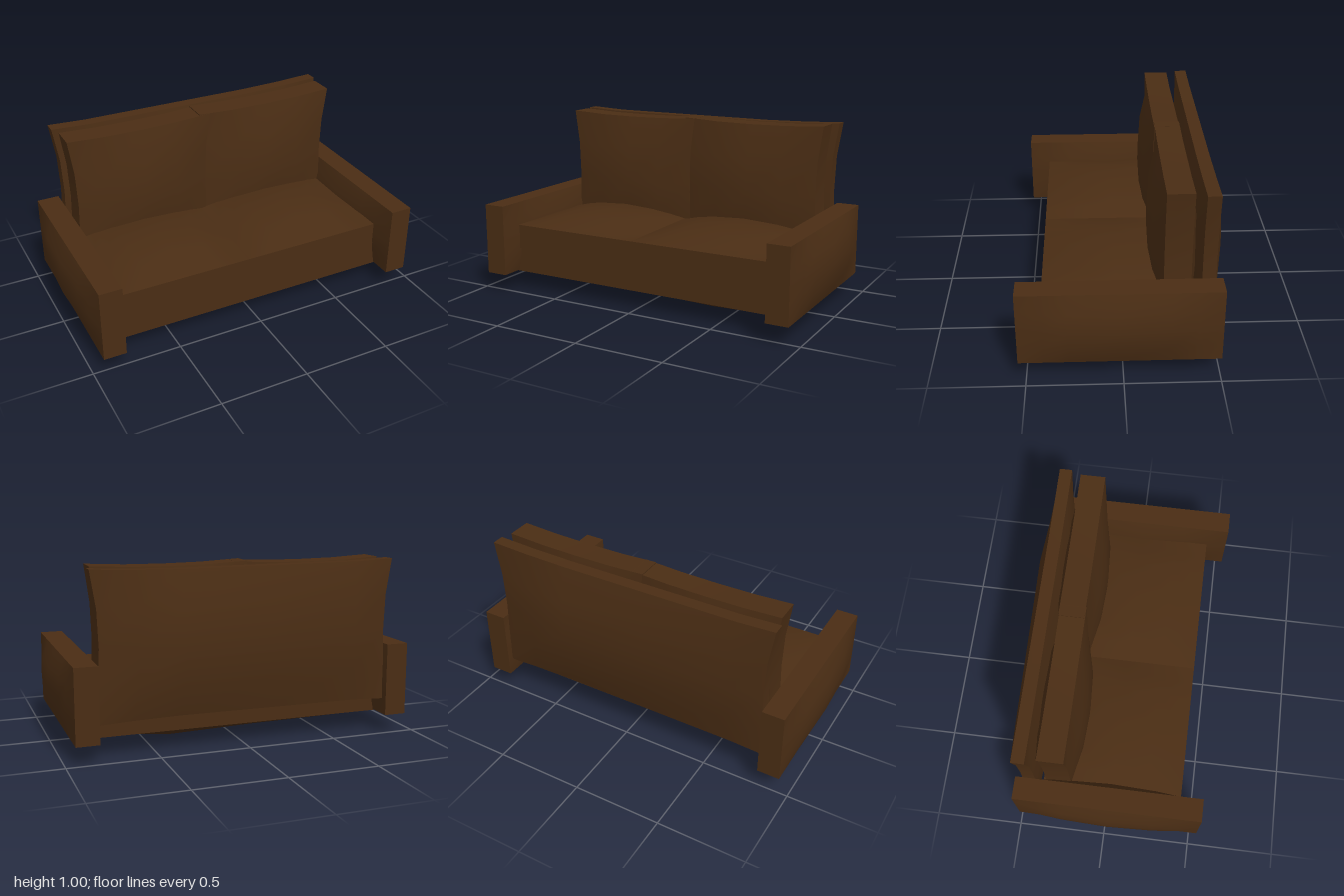
import * as THREE from 'three';

// Fullness of a stuffed face from edge to edge: [position -1..1, fullness 0..1]
const EVEN = [[-1, 0], [-0.75, 0.45], [-0.5, 0.76], [0, 1], [0.5, 0.76], [0.75, 0.45], [1, 0]];
const FULL = [[-1, 0], [-0.5, 0.8], [0, 1], [0.5, 0.8], [1, 0]];
const LONG = [[-1, 0], [-0.75, 0.68], [-0.15, 0.84], [0.45, 1], [0.75, 0.66], [1, 0]];

const leather = new THREE.MeshStandardMaterial({ color: 0x4a2d14 });

// A stuffed box: two faces swell along the thin axis, the rim is pinched inward.
// min/max are the corner positions; pinch is given for the two other axes.
function pillow(name, min, max, thin, bulge, profiles, pinch = [0, 0]) {
  const [u, v] = [0, 1, 2].filter((a) => a !== thin);
  const [pu, pv] = profiles;
  const segments = [1, 1, 1];
  segments[u] = pu.length - 1;
  segments[v] = pv.length - 1;
  const geometry = new THREE.BoxGeometry(2, 2, 2, ...segments);
  const position = geometry.attributes.position;
  const station = (profile, t) => profile[Math.round((t + 1) / 2 * (profile.length - 1))];
  const half = max.map((m, a) => (m - min[a]) / 2);
  const p = [0, 0, 0];
  for (let i = 0; i < position.count; i++) {
    p[0] = position.getX(i);
    p[1] = position.getY(i);
    p[2] = position.getZ(i);
    const [tu, fu] = station(pu, p[u]);
    const [tv, fv] = station(pv, p[v]);
    p[thin] *= half[thin] + bulge * fu * fv;
    p[u] = tu * (half[u] - pinch[0] * fv);
    p[v] = tv * (half[v] - pinch[1] * fu);
    position.setXYZ(i, ...p.map((c, a) => c + (min[a] + max[a]) / 2));
  }
  geometry.computeVertexNormals();
  const mesh = new THREE.Mesh(geometry, leather);
  mesh.name = name;
  return mesh;
}

export function createModel() {
  const sofa = new THREE.Group();
  sofa.name = 'sofa';

  // Base with a sagging underside
  sofa.add(pillow('base', [-0.83, 0.105, -0.365], [0.83, 0.25, 0.41], 1, 0.1, [LONG, FULL], [0.01, 0]));

  // Tall panel behind the cushions
  sofa.add(pillow('backPanel', [-0.85, 0.2, -0.47], [0.85, 1, -0.4], 2, 0.07, [LONG, FULL], [0.04, 0.015]));

  // Arms
  for (const [name, side] of [['leftArm', 1], ['rightArm', -1]]) {
    const x = 0.885 * side;
    sofa.add(pillow(name, [x - 0.063, 0.11, -0.505], [x + 0.063, 0.52, 0.54], 0, 0.052, [FULL, EVEN]));
  }

  // Seat cushions, meeting slightly off centre
  sofa.add(pillow('rightSeatCushion', [-0.81, 0.25, -0.36], [-0.032, 0.39, 0.42], 1, 0.07, [EVEN, FULL]));
  sofa.add(pillow('leftSeatCushion', [-0.032, 0.25, -0.36], [0.79, 0.39, 0.42], 1, 0.07, [EVEN, FULL]));

  // Back cushions, overlapping at the middle corners
  sofa.add(pillow('rightBackCushion', [-0.825, 0.2, -0.345], [0.03, 1, -0.205], 2, 0.066, [FULL, FULL], [0.034, 0.014]));
  sofa.add(pillow('leftBackCushion', [-0.035, 0.2, -0.348], [0.825, 1.003, -0.208], 2, 0.066, [FULL, FULL], [0.034, 0.014]));

  return sofa;
}
